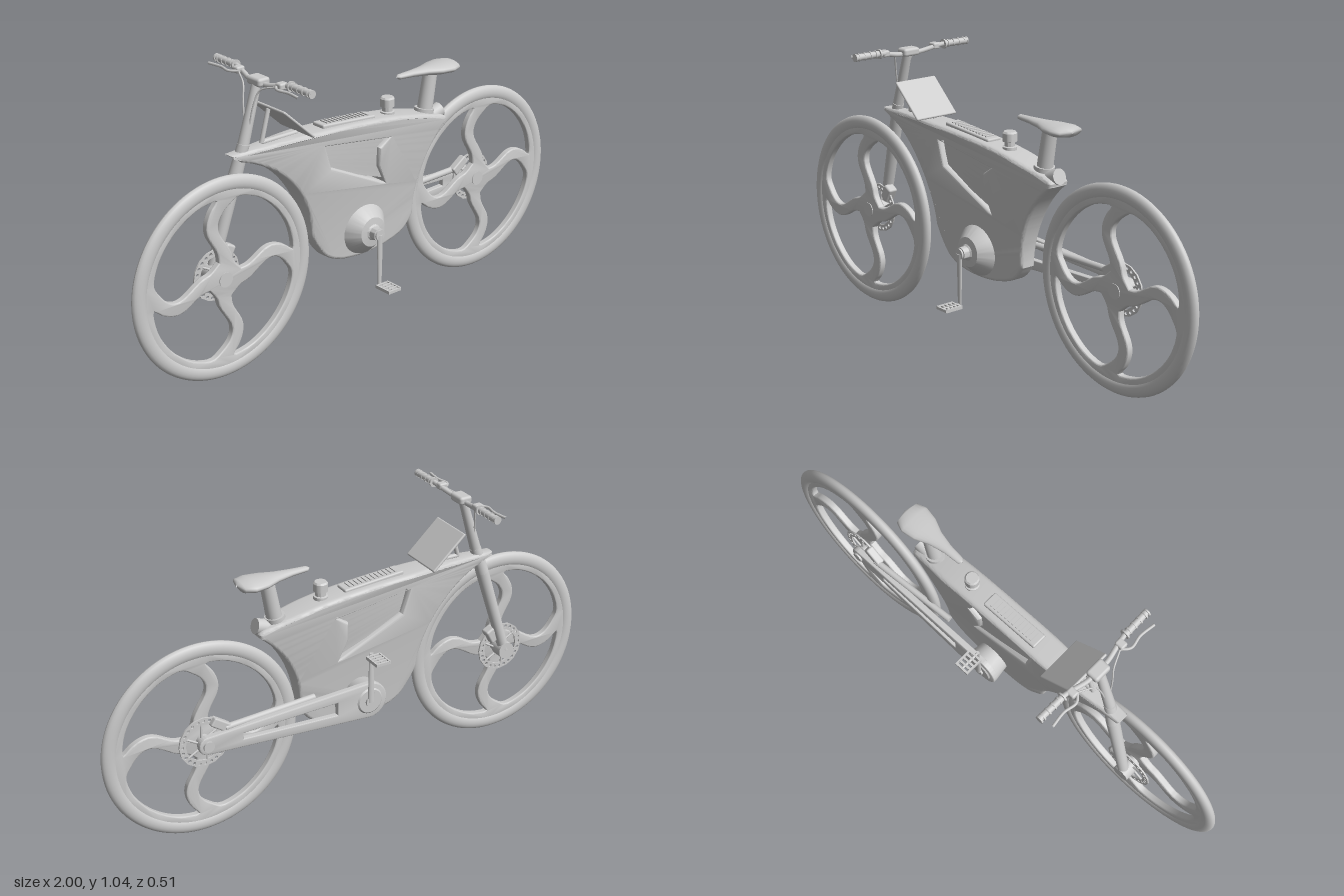
import * as THREE from 'three';
import { toCreasedNormals } from 'three/addons/utils/BufferGeometryUtils.js';
import { RoundedBoxGeometry } from 'three/addons/geometries/RoundedBoxGeometry.js';

const mat = new THREE.MeshStandardMaterial({ color: 0xcccccc });
const V = (x, y, z) => new THREE.Vector3(x, y, z);
const P = (x, y) => new THREE.Vector2(x, y);
const HUB_X = 0.634, HUB_Y = 0.373, BB_Y = 0.37;

export function createModel() {
  const model = new THREE.Group();

  const add = (name, geo, x = 0, y = 0, z = 0, parent = model) => {
    const m = new THREE.Mesh(geo, mat);
    m.name = name;
    m.position.set(x, y, z);
    parent.add(m);
    return m;
  };
  // Round bar between two points
  const rod = (name, a, b, ra, rb = ra, parent = model) => {
    const d = b.clone().sub(a);
    const m = add(name, new THREE.CylinderGeometry(rb, ra, d.length(), 24), 0, 0, 0, parent);
    m.position.copy(a).addScaledVector(d, 0.5);
    m.quaternion.setFromUnitVectors(V(0, 1, 0), d.normalize());
    return m;
  };
  const tube = (name, pts, r) => add(name, new THREE.TubeGeometry(new THREE.CatmullRomCurve3(pts), 32, r, 10));
  // Profile turned around the z axis: points are (radius, z)
  const turned = (pts, segs = 64) => new THREE.LatheGeometry(pts, segs).rotateX(Math.PI / 2);
  // Flat plate centred on z = 0
  const plate = (shape, thick, bevel = 0, curveSegments = 24) => {
    const g = new THREE.ExtrudeGeometry(shape, {
      depth: thick - 2 * bevel, bevelEnabled: bevel > 0, bevelThickness: bevel,
      bevelSize: bevel, bevelOffset: -bevel, bevelSegments: 3, curveSegments,
    });
    return toCreasedNormals(g.translate(0, 0, bevel - thick / 2), 0.6);
  };
  const circleHole = (x, y, r) => new THREE.Path().absarc(x, y, r, 0, Math.PI * 2, true);

  // ---- Wheels: rounded tyre, disc with four curved spokes ----
  const spokeHole = (k) => {
    const pts = [], n = 8;
    const edge = (t, side) => {
      const r = 0.07 + 0.222 * t;
      const half = 0.02 + 0.028 * t ** 4 + 0.012 * (1 - t) ** 4;
      const swirl = 0.24 * Math.sin(t * Math.PI * 1.25 - 0.5);
      const a = (k + (side > 0 ? 0 : 1)) * Math.PI / 2 + swirl + side * half / r;
      return P(Math.cos(a) * r, Math.sin(a) * r);
    };
    for (let i = 0; i <= n; i++) pts.push(edge(i / n, 1));
    const a0 = pts[n].angle(), a1 = edge(1, -1).angle();
    const span = (a1 - a0 + Math.PI * 2) % (Math.PI * 2);
    for (let i = 1; i < 5; i++) {
      const a = a0 + span * i / 5;
      pts.push(P(Math.cos(a) * 0.297, Math.sin(a) * 0.297));
    }
    for (let i = n; i >= 0; i--) pts.push(edge(i / n, -1));
    const curve = new THREE.SplineCurve([...pts, pts[0]]);
    return new THREE.Path(curve.getPoints(70).slice(0, -1));
  };
  const discShape = new THREE.Shape().absarc(0, 0, 0.33, 0, Math.PI * 2);
  for (let k = 0; k < 4; k++) discShape.holes.push(spokeHole(k));
  const discGeo = plate(discShape, 0.026, 0.005, 48);
  const tyrePts = [];
  for (let i = 0; i <= 20; i++) {
    const a = i / 20 * Math.PI * 2;
    tyrePts.push(P(0.338 + 0.028 * Math.cos(a), 0.018 * Math.sin(a)));
  }
  const tyreGeo = turned(tyrePts, 96);

  // Perforated brake rotor with thin arms
  const rotorShape = new THREE.Shape().absarc(0, 0, 0.095, 0, Math.PI * 2);
  rotorShape.holes.push(circleHole(0, 0, 0.07));
  for (let i = 0; i < 24; i++) {
    const a = i / 24 * Math.PI * 2;
    rotorShape.holes.push(circleHole(Math.cos(a) * 0.083, Math.sin(a) * 0.083, 0.006));
  }
  const rotorGeo = plate(rotorShape, 0.006, 0, 8);

  const wheel = (name, x, z, rotorZ) => {
    const g = new THREE.Group();
    g.name = name;
    g.position.set(x, HUB_Y, z);
    model.add(g);
    add('tyre', tyreGeo, 0, 0, 0, g);
    add('spokedDisc', discGeo, 0, 0, 0, g);
    add('brakeRotor', rotorGeo, 0, 0, rotorZ - z, g);
    for (let i = 0; i < 6; i++) {
      const a = i * Math.PI / 3;
      rod('rotorArm', V(Math.cos(a) * 0.02, Math.sin(a) * 0.02, rotorZ - z),
        V(Math.cos(a + 0.4) * 0.074, Math.sin(a + 0.4) * 0.074, rotorZ - z), 0.004, 0.004, g);
    }
    rod('hub', V(0, 0, 0.016), V(0, 0, rotorZ - z - 0.01), 0.027, 0.024, g);
  };
  wheel('frontWheel', -HUB_X, 0.041, 0);
  wheel('rearWheel', HUB_X, -0.046, -0.071);

  // ---- Hollow body shell, wide at the top and slim at the keel ----
  const body = new THREE.Shape();
  body.moveTo(-0.58, 0.765);
  body.absarc(-HUB_X, 0.375, 0.395, 1.3, 0.08, true);
  body.splineThru([P(-0.215, 0.36), P(-0.17, 0.305), P(-0.1, 0.275), P(0, 0.266), P(0.1, 0.275), P(0.19, 0.305), P(0.24, 0.36)]);
  body.absarc(HUB_X, 0.375, 0.395, 3.13, 2.23, true);
  body.splineThru([P(0.37, 0.715), P(0.17, 0.762), P(-0.05, 0.785), P(-0.3, 0.795), P(-0.57, 0.787)]);
  const win = [P(-0.192, 0.735), P(-0.165, 0.65), P(0.075, 0.535), P(0.085, 0.53), P(0.05, 0.6), P(0.052, 0.67), P(0.095, 0.697)];
  body.holes.push(new THREE.Path(win));
  let shell = new THREE.ExtrudeGeometry(body, {
    depth: 0.08, bevelThickness: 0.02, bevelSize: 0.012, bevelOffset: -0.012, bevelSegments: 4, curveSegments: 20,
  }).translate(0, 0, -0.04);
  const pos = shell.attributes.position;
  for (let i = 0; i < pos.count; i++) {
    const x = pos.getX(i), y = pos.getY(i);
    const s = THREE.MathUtils.lerp(0.5, 0.95, THREE.MathUtils.smoothstep(y, 0.3, 0.72));
    const nose = THREE.MathUtils.lerp(0.4, 1, THREE.MathUtils.smoothstep(x, -0.6, -0.2));
    const tail = THREE.MathUtils.lerp(1, 0.75, THREE.MathUtils.smoothstep(x, 0.2, 0.4));
    pos.setZ(i, pos.getZ(i) * s * nose * tail);
  }
  add('bodyShell', toCreasedNormals(shell, 0.6));

  // Ribbed panels on top of the body and on the window sill
  const ribbedPanel = (name, x, y, len, width, tilt) => {
    const g = new THREE.Group();
    g.name = name;
    g.position.set(x, y, 0);
    g.rotation.z = tilt;
    model.add(g);
    add('panelBase', new RoundedBoxGeometry(len, 0.018, width, 2, 0.006), 0, 0, 0, g);
    for (let i = 0; i < 12; i++)
      add('rib', new THREE.BoxGeometry(len * 0.03, 0.008, width * 0.65), len * (i - 5.5) * 0.07, 0.009, 0, g);
  };
  ribbedPanel('topPanel', -0.065, 0.787, 0.24, 0.06, -0.08);
  ribbedPanel('sillPanel', -0.06, 0.602, 0.18, 0.045, -0.447);

  // Filler cap and tail lamp
  const cap = [[0, 0], [0.026, 0], [0.026, 0.018], [0.019, 0.02], [0.019, 0.035], [0.026, 0.037], [0.026, 0.066], [0.021, 0.072], [0, 0.072]];
  add('fillerCap', toCreasedNormals(new THREE.LatheGeometry(cap.map((p) => P(...p)), 32), 0.6), 0.136, 0.757, 0);
  rod('tailLamp', V(0.34, 0.705, 0), V(0.393, 0.722, 0), 0.028);
  rod('tailAerial', V(0.38, 0.7, 0), V(0.382, 0.738, 0), 0.005);

  // ---- Saddle from cross-sections, with its post ----
  const saddlePts = [], idx = [], N = 20;
  const stations = [[0.18, 0.002, 0.89, 0.002], [0.19, 0.013, 0.89, 0.009], [0.25, 0.018, 0.889, 0.012], [0.31, 0.031, 0.887, 0.016],
    [0.36, 0.053, 0.885, 0.02], [0.41, 0.062, 0.885, 0.021], [0.445, 0.05, 0.886, 0.017], [0.456, 0.004, 0.887, 0.004]];
  stations.forEach(([x, w, y, h], s) => {
    for (let j = 0; j < N; j++) {
      const a = j / N * Math.PI * 2;
      saddlePts.push(x, y + Math.sin(a) * h, Math.cos(a) * w);
      if (s) {
        const a0 = (s - 1) * N + j, a1 = (s - 1) * N + (j + 1) % N;
        idx.push(a0, a0 + N, a1, a1, a0 + N, a1 + N);
      }
    }
  });
  const saddle = new THREE.BufferGeometry();
  saddle.setAttribute('position', new THREE.Float32BufferAttribute(saddlePts, 3));
  saddle.setIndex(idx.reverse());
  saddle.computeVertexNormals();
  const saddleMesh = add('saddle', saddle);
  saddleMesh.material = mat.clone();
  saddleMesh.material.side = THREE.DoubleSide;
  rod('seatPost', V(0.312, 0.7, 0), V(0.343, 0.872, 0), 0.029, 0.026);
  rod('seatCollar', V(0.312, 0.715, 0), V(0.317, 0.745, 0), 0.036);

  // ---- Fork, stem, handlebar ----
  rod('forkLeg', V(-HUB_X, HUB_Y, -0.026), V(-0.535, 0.71, -0.008), 0.02, 0.024);
  rod('forkUpper', V(-0.535, 0.71, -0.008), V(-0.505, 0.81, 0), 0.024, 0.021);
  rod('steerer', V(-0.505, 0.81, 0), V(-0.44, 1.025, 0), 0.02, 0.016);
  rod('forkFoot', V(-HUB_X, HUB_Y, 0.005), V(-HUB_X, HUB_Y, -0.045), 0.032);
  add('frontCaliper', new RoundedBoxGeometry(0.04, 0.06, 0.04, 2, 0.008), -0.585, 0.44, -0.008).rotation.z = -0.5;
  add('stemClamp', new RoundedBoxGeometry(0.05, 0.03, 0.07, 2, 0.01), -0.437, 1.018, 0);
  const bar = [];
  for (const [z, y, x] of [[0.25, 1.03, -0.415], [0.14, 1.03, -0.418], [0.1, 1.022, -0.425], [0.05, 1.012, -0.435], [0, 1.012, -0.437]]) {
    bar.push(V(x, y, z));
    if (z) bar.unshift(V(x, y, -z));
  }
  bar.sort((a, b) => a.z - b.z);
  tube('handlebar', bar, 0.009);
  for (const s of [-1, 1]) {
    rod('grip', V(-0.418, 1.03, s * 0.145), V(-0.415, 1.03, s * 0.256), 0.012);
    for (const z of [0.148, 0.165, 0.19, 0.215, 0.24, 0.253])
      rod('gripRing', V(-0.417, 1.03, s * (z - 0.003)), V(-0.417, 1.03, s * (z + 0.003)), z < 0.15 ? 0.018 : 0.0145);
    add('leverMount', new RoundedBoxGeometry(0.035, 0.024, 0.03, 2, 0.007), -0.43, 1.026, s * 0.115);
    tube('brakeLever', [V(-0.44, 1.025, s * 0.1), V(-0.462, 1.024, s * 0.13), V(-0.455, 1.024, s * 0.18), V(-0.462, 1.024, s * 0.24)], 0.005);
    tube('cable', [V(-0.44, 1.02, s * 0.1), V(-0.465, 1.0, s * 0.045), V(-0.48, 0.95, s * 0.028), V(-0.49, 0.86, s * 0.012)], 0.003);
  }

  // Sloping display board on a strut
  const board = add('displayBoard', new RoundedBoxGeometry(0.175, 0.01, 0.18, 3, 0.005), -0.336, 0.86, 0);
  board.rotation.z = -0.74;
  rod('boardStrut', V(-0.43, 0.795, 0), V(-0.398, 0.91, 0), 0.008);
  rod('boardFoot', V(-0.43, 0.797, 0), V(-0.28, 0.797, 0), 0.008);

  // ---- Swing arm on the right side, tapering to the rear hub, with a slot ----
  const arm = new THREE.Shape();
  arm.absarc(0, BB_Y, 0.07, 1.55, -1.62, false);
  arm.absarc(HUB_X, HUB_Y, 0.034, -1.62, 1.62, false);
  arm.closePath();
  arm.holes.push(new THREE.Path([P(0.13, 0.395), P(0.5, 0.385), P(0.5, 0.363), P(0.13, 0.347)]));
  add('swingArm', plate(arm, 0.024, 0.005), 0, 0, -0.095);
  rod('armPivot', V(0, BB_Y, -0.02), V(0, BB_Y, -0.09), 0.06, 0.07);
  rod('rearAxle', V(HUB_X, HUB_Y, -0.046), V(HUB_X, HUB_Y, -0.114), 0.02);
  rod('upperStay', V(0.2, 0.42, -0.06), V(0.56, 0.415, -0.085), 0.012);
  const caliper = add('rearCaliper', new RoundedBoxGeometry(0.075, 0.034, 0.03, 2, 0.006), 0.575, 0.43, -0.078);
  caliper.rotation.z = 0.6;

  // ---- Crank drive: bulged cover, pulley, arms and pedals ----
  const cover = [[0.1, 0.02], [0.095, 0.035], [0.055, 0.08], [0.03, 0.083], [0.024, 0.088], [0.024, 0.113], [0, 0.116]];
  const coverMesh = add('crankCover', toCreasedNormals(turned(cover.map((p) => P(...p))), 0.5), 0, BB_Y, 0);
  coverMesh.material = saddleMesh.material;
  rod('pulley', V(0, BB_Y, -0.1), V(0, BB_Y, -0.112), 0.058, 0.045);
  rod('crankAxle', V(0, BB_Y, 0.12), V(0, BB_Y, -0.12), 0.02);
  for (const s of [-1, 1]) {
    const y = BB_Y - s * 0.19, z = s * 0.116;
    rod('crankArm', V(0, BB_Y, z), V(0, y - s * 0.006, z), 0.013, 0.008).scale.z = 0.6;
    rod('pedalSpindle', V(0, y, z), V(0, y, s * 0.2), 0.005);
    for (const x of [-0.026, 0.026]) add('pedalSide', new THREE.BoxGeometry(0.006, 0.012, 0.072), x, y, s * 0.163);
    for (let i = 0; i < 5; i++) add('pedalBar', new THREE.BoxGeometry(0.056, 0.01, 0.008), 0, y, s * (0.13 + i * 0.0165));
  }
  return model;
}
